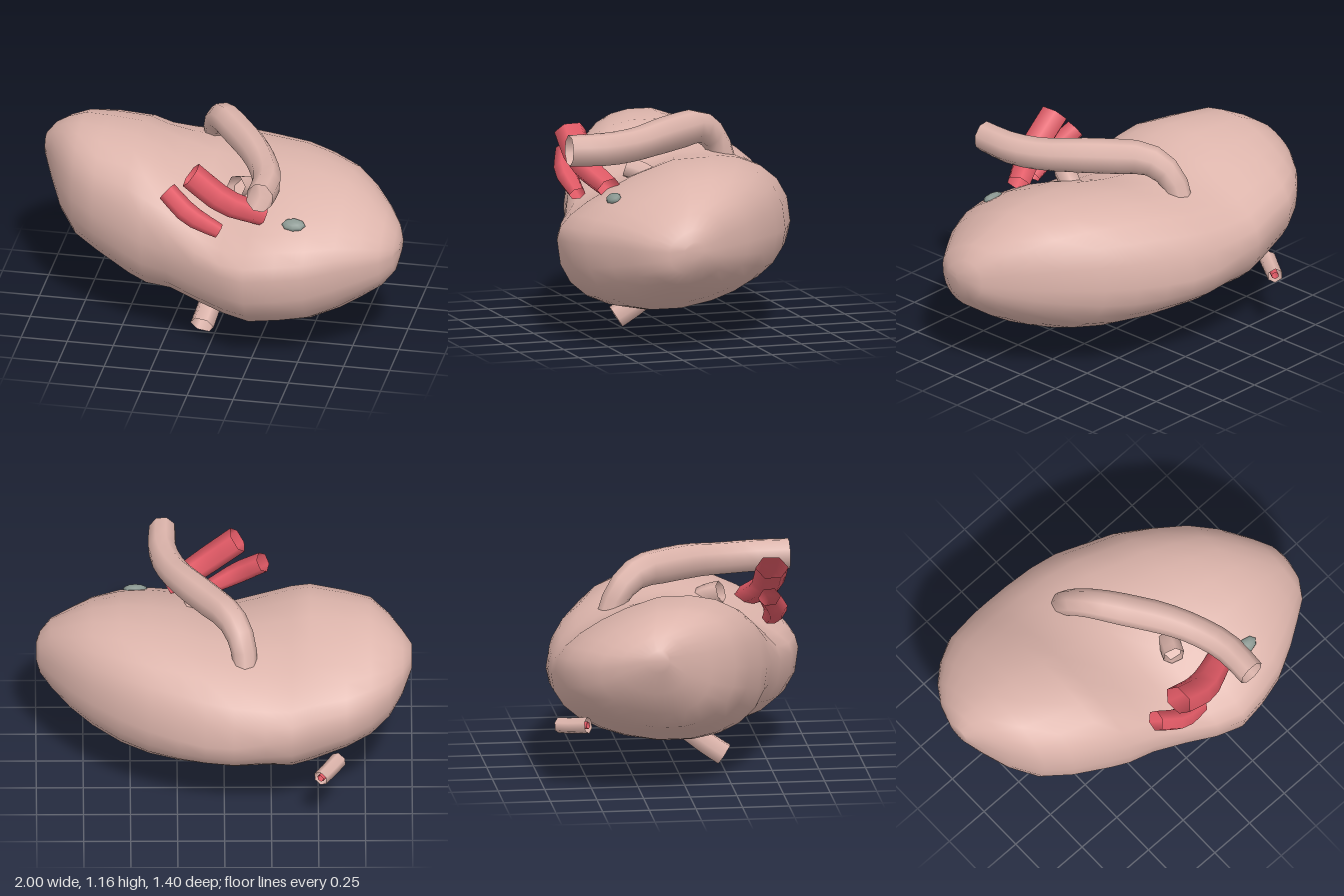
import * as THREE from 'three';

const flesh = new THREE.MeshStandardMaterial({ color: 0xdcb4ab, side: THREE.DoubleSide });
const red = new THREE.MeshStandardMaterial({ color: 0xe25a66, side: THREE.DoubleSide });
const grey = new THREE.MeshStandardMaterial({ color: 0x8b9892 });

// Body cross-sections: [x, bottom y, top y, back z, front z]
const sections = [
  [-1.0, 0.76, 0.88, -0.27, -0.14],
  [-0.95, 0.63, 0.94, -0.4, -0.04],
  [-0.88, 0.5, 0.99, -0.5, 0.1],
  [-0.78, 0.4, 1.035, -0.59, 0.24],
  [-0.65, 0.34, 1.035, -0.66, 0.33],
  [-0.46, 0.25, 1.035, -0.69, 0.42],
  [-0.36, 0.22, 1.0, -0.7, 0.46],
  [-0.22, 0.225, 0.96, -0.7, 0.5],
  [-0.05, 0.185, 0.93, -0.69, 0.57],
  [0.1, 0.165, 0.93, -0.66, 0.65],
  [0.24, 0.155, 0.945, -0.6, 0.7],
  [0.4, 0.175, 0.95, -0.53, 0.68],
  [0.55, 0.2, 0.94, -0.43, 0.64],
  [0.7, 0.26, 0.91, -0.31, 0.56],
  [0.82, 0.33, 0.845, -0.18, 0.48],
  [0.92, 0.4, 0.775, -0.03, 0.41],
  [0.98, 0.47, 0.7, 0.07, 0.32],
  [1.0, 0.55, 0.64, 0.13, 0.24],
];

function bodyGeometry() {
  const sides = 24, pos = [], index = [];
  const soft = (v) => Math.sign(v) * Math.pow(Math.abs(v), 0.86);
  for (const [x, y0, y1, z0, z1] of sections) {
    const right = THREE.MathUtils.smoothstep(x, -0.4, 0.1);
    const bump = Math.exp(-(((x - 0.08) / 0.22) ** 2));
    // One lobe leans down to the back, the other to the front; the lower back is lifted
    const frontDip = 0.135 * right + 0.04 * bump - 0.04 * (1 - right);
    const backDip = 0.13 * (1 - right) - 0.045 * right;
    const backLift = 0.06 + 0.05 * bump;
    for (let j = 0; j < sides; j++) {
      const a = (j / sides) * Math.PI * 2;
      const c = soft(Math.cos(a)), s = soft(Math.sin(a));
      const up = Math.max(0, s), down = Math.max(0, -s), front = Math.max(0, c), back = Math.max(0, -c);
      const shift = down * (back * backLift - front * 0.03) - up * (front * frontDip + back * backDip);
      pos.push(x, (y0 + y1) / 2 + (s * (y1 - y0)) / 2 + (shift * (y1 - y0)) / 0.7,
        (z0 + z1) / 2 + (c * (z1 - z0)) / 2);
    }
  }
  for (let i = 0; i < sections.length - 1; i++) {
    for (let j = 0; j < sides; j++) {
      const a = i * sides + j, b = i * sides + ((j + 1) % sides);
      index.push(a, a + sides, b, b, a + sides, b + sides);
    }
  }
  // End caps
  const last = (sections.length - 1) * sides;
  for (let j = 1; j < sides - 1; j++) {
    index.push(0, j, j + 1, last, last + j + 1, last + j);
  }
  const g = new THREE.BufferGeometry();
  g.setAttribute('position', new THREE.Float32BufferAttribute(pos, 3));
  g.setIndex(index);
  g.computeVertexNormals();
  return g;
}

// Open tube along a curve, its radius interpolated through a list; stretch widens it per axis
function vessel(name, material, points, radii, sides = 6, stretch = [1, 1, 1]) {
  const curve = new THREE.CatmullRomCurve3(points.map((p) => new THREE.Vector3(...p)));
  const n = points.length > 3 ? 14 : 5;
  const g = new THREE.TubeGeometry(curve, n, 1, sides, false);
  const p = g.attributes.position, v = new THREE.Vector3(), widen = new THREE.Vector3(...stretch);
  for (let i = 0; i <= n; i++) {
    const centre = curve.getPointAt(i / n);
    const t = (i / n) * (radii.length - 1), k = Math.min(Math.floor(t), radii.length - 2);
    const r = THREE.MathUtils.lerp(radii[k], radii[k + 1], t - k);
    for (let j = 0; j <= sides; j++) {
      const id = i * (sides + 1) + j;
      v.fromBufferAttribute(p, id).sub(centre).multiplyScalar(r).multiply(widen).add(centre);
      p.setXYZ(id, v.x, v.y, v.z);
    }
  }
  const mesh = new THREE.Mesh(g, material);
  mesh.name = name;
  return mesh;
}

export function createModel() {
  const group = new THREE.Group();
  group.name = 'organ';

  const body = new THREE.Mesh(bodyGeometry(), flesh);
  body.name = 'body';
  group.add(body);

  // Long duct that rises from the back and runs forward over the body
  group.add(vessel('upperDuct', flesh, [
    [-0.11, 0.85, -0.36], [-0.1, 0.97, -0.31], [-0.04, 1.06, -0.2], [0.08, 1.067, -0.03],
    [0.19, 1.06, 0.13], [0.27, 1.045, 0.28], [0.325, 1.04, 0.46], [0.325, 1.045, 0.66],
  ], [0.07, 0.08, 0.092, 0.092, 0.085, 0.085, 0.08], 8, [0.92, 1.05, 0.92]));

  // Short stub in the hollow
  group.add(vessel('hollowStub', flesh,
    [[0.2, 0.8, 0.1], [0.16, 0.87, 0.19], [0.12, 0.9, 0.27]], [0.06, 0.06]));

  // Two red vessels at the front
  group.add(vessel('largeRedVessel', red,
    [[-0.075, 1.075, 0.52], [0.11, 0.93, 0.51], [0.3, 0.83, 0.43]], [0.068, 0.067, 0.055], 6, [1, 1, 1.3]));
  group.add(vessel('smallRedVessel', red,
    [[-0.21, 0.95, 0.49], [-0.08, 0.85, 0.54], [0.08, 0.76, 0.53]], [0.052, 0.055, 0.038], 6, [1, 1, 1.2]));

  // Stub below
  group.add(vessel('lowerStub', flesh,
    [[-0.065, 0.055, 0.265], [-0.05, 0.11, 0.18], [-0.03, 0.2, 0.06]], [0.065, 0.062]));

  // Stub at the back with a red core
  const backPath = [[-0.51, 0.36, -0.68], [-0.55, 0.365, -0.62], [-0.61, 0.38, -0.53]];
  group.add(vessel('backStub', flesh, backPath, [0.042, 0.045]));
  group.add(vessel('backStubCore', red, backPath, [0.02, 0.02]));

  // Small grey patch on the upper front
  const patch = new THREE.Mesh(new THREE.SphereGeometry(1, 8, 6), grey);
  patch.name = 'patch';
  patch.scale.set(0.065, 0.025, 0.04);
  patch.position.set(0.47, 0.8, 0.46);
  patch.rotation.x = 0.5;
  group.add(patch);

  return group;
}
